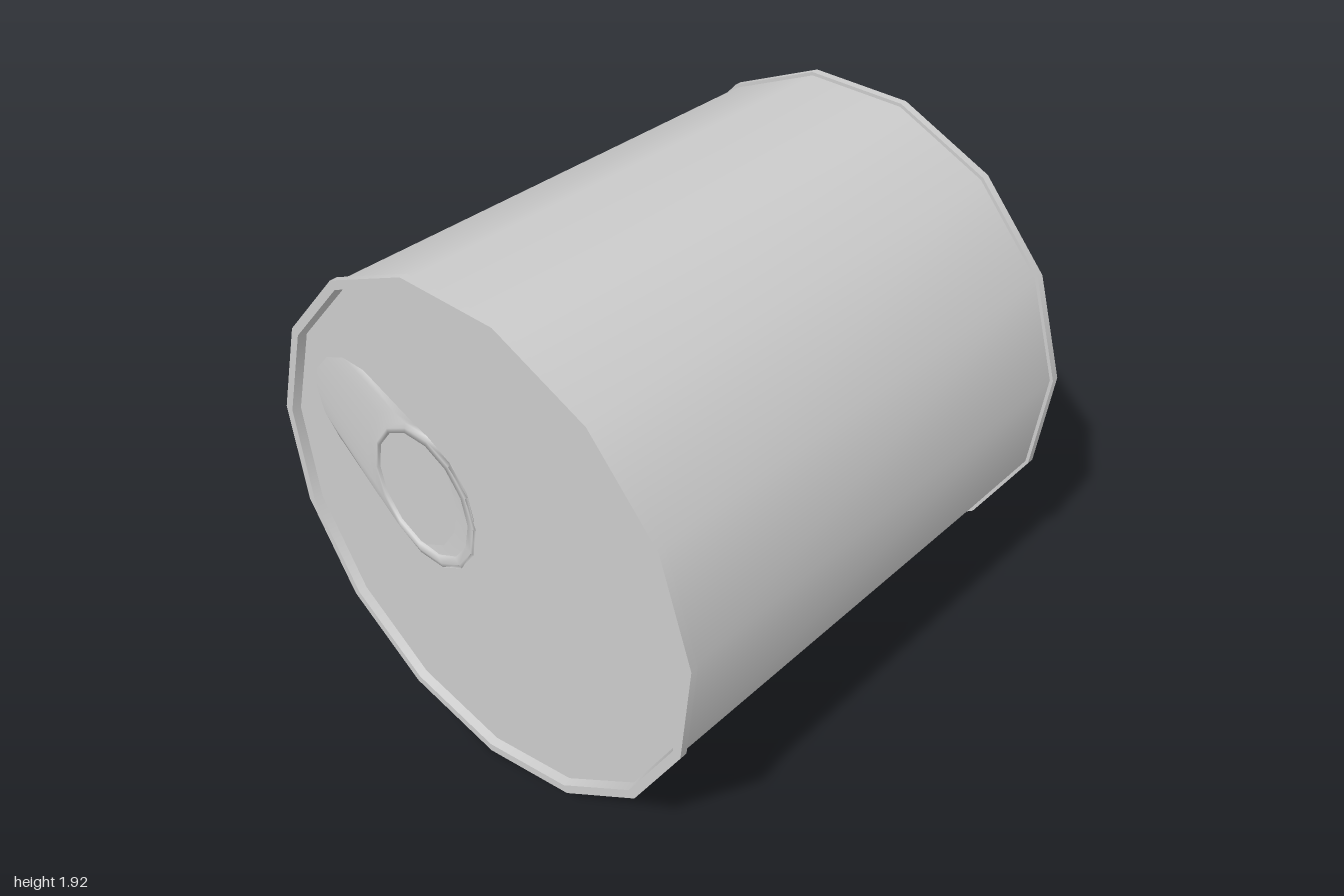
import * as THREE from 'three';

const SIDES = 15;
const R = 0.973;       // rim radius
const BODY_R = 0.96;   // wall radius
const LID_Z = 0.967;   // recessed lid

export function createModel() {
  const group = new THREE.Group();
  const mat = new THREE.MeshStandardMaterial({ color: 0xcccccc, side: THREE.DoubleSide });

  const add = (name, geo, parent) => {
    const mesh = new THREE.Mesh(geo, mat);
    mesh.name = name;
    parent.add(mesh);
  };

  // Lathe along z, one strip per profile segment: smooth around, sharp between strips
  const turned = (name, profile) => {
    const part = new THREE.Group();
    part.name = name;
    part.position.y = R;
    for (let i = 0; i < profile.length - 1; i++) {
      const pts = [profile[i], profile[i + 1]].map(([r, z]) => new THREE.Vector2(r, z));
      add(name + 'Strip', new THREE.LatheGeometry(pts, SIDES).rotateX(Math.PI / 2), part);
    }
    group.add(part);
  };

  turned('body', [[BODY_R, -0.97], [BODY_R, 0.97]]);
  turned('backCap', [[0, -1], [R, -1], [R, -0.97], [BODY_R, -0.97]]);
  turned('frontRimAndLid', [[BODY_R, 0.97], [R, 0.97], [R, 0.998], [0.94, 0.998], [0.932, LID_Z], [0, LID_Z]]);

  // Slanted spout: elliptical rings lofted from the lid up to a rounded lip and back down inside
  const rings = [ // centre x, centre y, radius x, radius y, z
    [-0.56, 1.22, 0.24, 0.215, LID_Z],
    [-0.28, 1.09, 0.24, 0.275, 0.990],
    [-0.22, 1.07, 0.255, 0.285, 0.995],
    [-0.22, 1.07, 0.245, 0.265, 1.000],
    [-0.23, 1.07, 0.228, 0.24, 0.998],
    [-0.23, 1.07, 0.226, 0.237, LID_Z + 0.001],
  ];
  const N = 14;
  const pos = [], idx = [];
  rings.forEach(([cx, cy, rx, ry, z], k) => {
    for (let i = 0; i < N; i++) {
      const a = (i / N) * Math.PI * 2;
      pos.push(cx + rx * Math.cos(a), cy + ry * Math.sin(a), z);
      if (k === rings.length - 1) continue;
      const p = k * N + i, q = k * N + (i + 1) % N;
      idx.push(p, q, q + N, p, q + N, p + N);
    }
  });
  const spout = new THREE.BufferGeometry();
  spout.setAttribute('position', new THREE.Float32BufferAttribute(pos, 3));
  spout.setIndex(idx);
  spout.computeVertexNormals();
  add('spout', spout, group);

  // Flat floor closing the spout opening
  const floor = new THREE.CircleGeometry(1, N).scale(0.227, 0.238, 1).translate(-0.23, 1.07, 0.988);
  add('spoutFloor', floor, group);

  return group;
}
